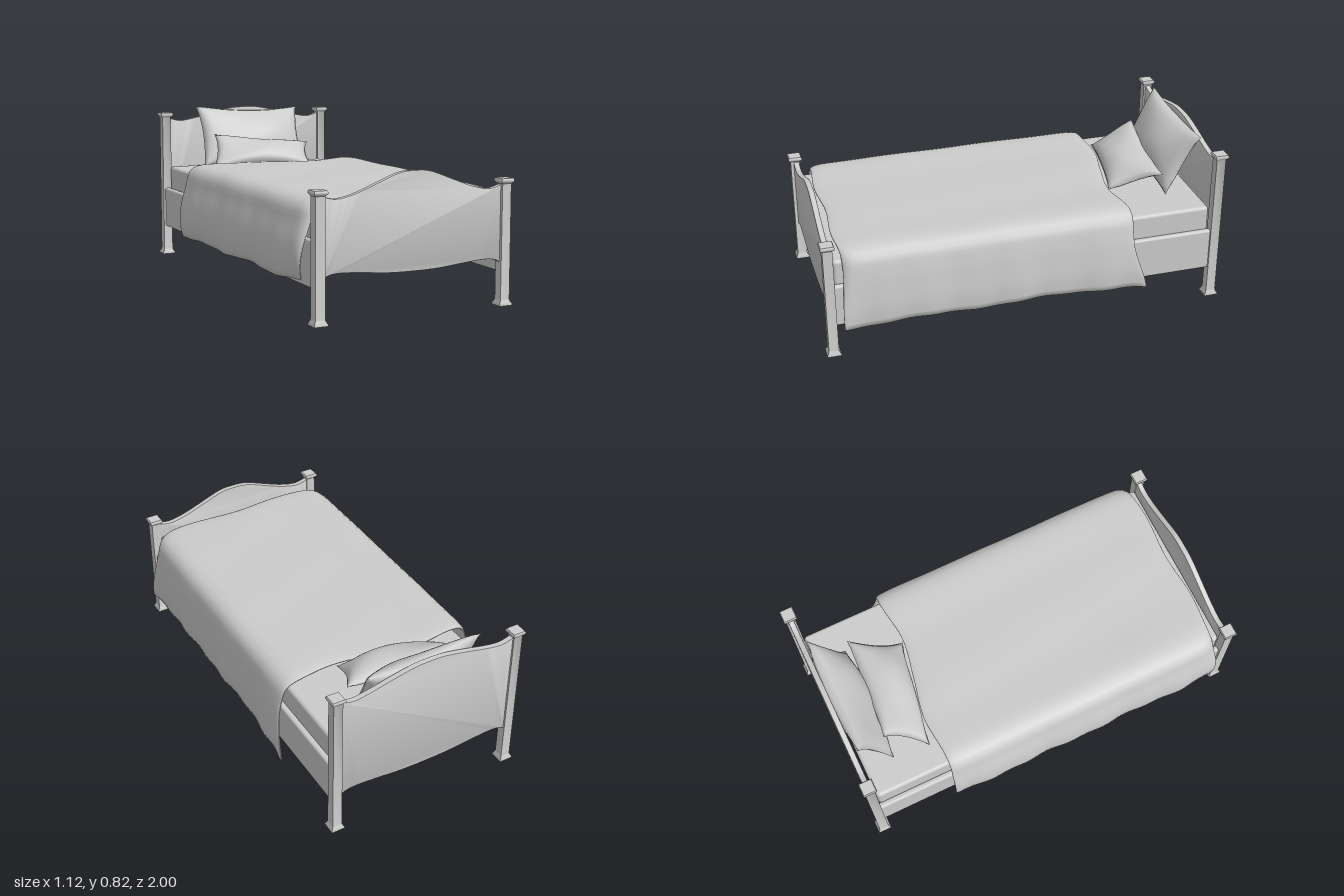
import * as THREE from 'three';
import { mergeGeometries, mergeVertices, toCreasedNormals } from 'three/addons/utils/BufferGeometryUtils.js';
import { RoundedBoxGeometry } from 'three/addons/geometries/RoundedBoxGeometry.js';

const V3 = (x, y, z) => new THREE.Vector3(x, y, z);
const material = new THREE.MeshStandardMaterial({ color: 0xcccccc });
const POST_X = 0.475, POST_Z = 0.966;

export function createModel() {
  const bed = new THREE.Group();
  bed.name = 'bed';

  const add = (name, geometry, x = 0, y = 0, z = 0) => {
    const mesh = new THREE.Mesh(geometry, material);
    mesh.name = name;
    mesh.position.set(x, y, z);
    bed.add(mesh);
    return mesh;
  };

  // Square posts with a flared foot and a moulded cap
  function postGeometry(height) {
    const profile = [
      [0, 0], [0.034, 0], [0.034, 0.007], [0.026, 0.02], [0.024, 0.03],
      [0.0235, height - 0.025], [0.03, height - 0.019], [0.034, height - 0.013],
      [0.034, height - 0.007], [0.03, height], [0, height],
    ].map(([r, y]) => new THREE.Vector2(r * Math.SQRT2, y));
    return toCreasedNormals(new THREE.LatheGeometry(profile, 4, Math.PI / 4), 0.6);
  }
  for (const side of [-1, 1]) {
    const label = side > 0 ? 'left' : 'right';
    add(label + 'HeadPost', postGeometry(0.787), side * POST_X, 0, -POST_Z);
    add(label + 'FootPost', postGeometry(0.593), side * POST_X, 0, POST_Z);
  }

  // End boards with a wavy top and bottom edge, mirrored about the middle
  function boardGeometry(top, bottom) {
    const edge = (half) => {
      const right = half.map(([x, y]) => new THREE.Vector2(x, y));
      const left = right.slice(1).reverse().map((p) => new THREE.Vector2(-p.x, p.y));
      return new THREE.SplineCurve([...left, ...right]).getPoints(60);
    };
    const shape = new THREE.Shape([...edge(bottom), ...edge(top).reverse()]);
    const geometry = new THREE.ExtrudeGeometry(shape, {
      depth: 0.02, bevelThickness: 0.004, bevelSize: 0.004, bevelSegments: 2,
    });
    geometry.translate(0, 0, -0.01);
    return toCreasedNormals(geometry, 0.7);
  }
  const bottomEdge = [[0, 0.204], [0.13, 0.207], [0.26, 0.219], [0.36, 0.226], [0.42, 0.222], [0.46, 0.205]];
  add('footboard', boardGeometry(
    [[0, 0.65], [0.08, 0.643], [0.2, 0.599], [0.3, 0.563], [0.39, 0.546], [0.46, 0.562]],
    bottomEdge), 0, 0, 0.96);
  add('headboard', boardGeometry(
    [[0, 0.803], [0.08, 0.799], [0.2, 0.775], [0.3, 0.751], [0.39, 0.738], [0.46, 0.755]],
    bottomEdge), 0, 0, -0.966);

  // Side rails, battens and slats
  for (const side of [-1, 1]) {
    const label = side > 0 ? 'left' : 'right';
    add(label + 'Rail', new RoundedBoxGeometry(0.032, 0.215, 1.9, 3, 0.012), side * 0.473, 0.263, 0);
    add(label + 'Batten', new THREE.BoxGeometry(0.025, 0.02, 1.84), side * 0.3, 0.29, 0);
  }
  for (let i = 0; i < 12; i++) {
    add('slat', new THREE.BoxGeometry(0.92, 0.02, 0.075), 0, 0.31, -0.85 + i * 0.1545);
  }

  add('mattress', new RoundedBoxGeometry(0.92, 0.168, 1.88, 4, 0.018), 0, 0.405, 0);

  // Blanket: a closed loop of cross-section points swept along the bed
  function blanketGeometry() {
    const nU = 64, nV = 60, half = 0.013;
    const path = new THREE.CatmullRomCurve3([
      V3(-0.528, 0.17, 0), V3(-0.542, 0.24, 0), V3(-0.535, 0.33, 0), V3(-0.507, 0.43, 0), V3(-0.484, 0.505, 0),
      V3(-0.44, 0.528, 0), V3(-0.2, 0.53, 0), V3(0.2, 0.53, 0), V3(0.44, 0.528, 0),
      V3(0.482, 0.505, 0), V3(0.502, 0.43, 0), V3(0.514, 0.33, 0), V3(0.52, 0.24, 0), V3(0.516, 0.16, 0),
    ]);
    // Wavy edge at the head end, by position across the bed
    const headEdge = new THREE.SplineCurve([
      [0, -0.57], [0.17, -0.565], [0.3, -0.56], [0.4, -0.575], [0.5, -0.535], [0.6, -0.5], [0.7, -0.525], [0.84, -0.53], [1, -0.59],
    ].map(([x, y]) => new THREE.Vector2(x, y)));
    const base = path.getSpacedPoints(nU);
    const ring = 2 * (nU + 1);
    const positions = [], index = [];
    for (let j = 0; j <= nV; j++) {
      const v = (1 - Math.cos((Math.PI * j) / nV)) / 2;
      const line = base.map((p, i) => {
        const u = i / nU, side = Math.sign(p.x);
        const hang = THREE.MathUtils.clamp((0.52 - p.y) / 0.36, 0, 1);
        const z = THREE.MathUtils.lerp(headEdge.getPoint(u).y, 0.905 + 0.008 * Math.sin(u * 21), v);
        const flare = side > 0 ? 0.032 * Math.exp(-v * 14) + 0.014 * Math.exp((v - 1) * 14) : 0;
        const x = p.x + side * hang * (flare + 0.005 * Math.sin(z * 13 + side) + 0.004 * Math.sin(z * 29))
          - side * 0.03 * Math.exp((v - 1) * 60) * Math.min(1, Math.abs(p.x) / 0.5) * (1 - hang);
        const y = p.y + hang * (0.007 * Math.sin(z * 11 + side * 2) - (side > 0 ? 0.025 * Math.exp(-v * 12) : -0.02 * v))
          + (1 - hang) * 0.003 * Math.sin(p.x * 9 + z * 5) * Math.sin(z * 7 - p.x * 4);
        return V3(x, y, z);
      });
      const t = half * Math.sqrt(Math.max(0.02, 1 - Math.pow(2 * v - 1, 16)));
      const outer = [], inner = [];
      line.forEach((p, i) => {
        const a = line[Math.max(0, i - 1)], b = line[Math.min(nU, i + 1)];
        const n = V3(a.y - b.y, b.x - a.x, 0).normalize();
        outer.push(p.clone().addScaledVector(n, t));
        inner.push(p.clone().addScaledVector(n, -t));
      });
      for (const p of [...outer, ...inner.reverse()]) positions.push(p.x, p.y, p.z);
    }
    for (let j = 0; j < nV; j++) {
      for (let i = 0; i < ring; i++) {
        const k = (i + 1) % ring;
        const a = j * ring + i, b = j * ring + k, c = a + ring, d = b + ring;
        index.push(a, c, b, b, c, d);
      }
    }
    // Close the thin rims at both ends
    for (let i = 0; i < nU; i++) {
      const o = nV * ring, m = ring - 1 - i;
      index.push(i, i + 1, m, i + 1, m - 1, m);
      index.push(o + i, o + m, o + i + 1, o + i + 1, o + m, o + m - 1);
    }
    const geometry = new THREE.BufferGeometry();
    geometry.setAttribute('position', new THREE.Float32BufferAttribute(positions, 3));
    geometry.setIndex(index);
    geometry.computeVertexNormals();
    return geometry;
  }
  add('blanket', blanketGeometry());

  // Pillows: two bulging sheets stretched between four corners, with pinched edges
  function pillowGeometry([bl, br, tl, tr], thickness, pinch) {
    const normal = br.clone().sub(bl).cross(tl.clone().sub(bl)).normalize();
    const sheet = (side) => {
      const g = new THREE.PlaneGeometry(2, 2, 28, 20);
      if (side < 0) g.rotateY(Math.PI);
      g.deleteAttribute('uv');
      g.deleteAttribute('normal');
      const pos = g.attributes.position;
      for (let i = 0; i < pos.count; i++) {
        const x = pos.getX(i), y = pos.getY(i);
        const u = 0.5 + 0.5 * x * (1 - pinch * (1 - y * y));
        const v = 0.5 + 0.5 * y * (1 - 1.5 * pinch * (1 - x * x));
        const p = bl.clone().lerp(br, u).lerp(tl.clone().lerp(tr, u), v);
        const puff = Math.pow(Math.max(0, (1 - x * x) * (1 - y * y)), 0.55);
        const crease = 1 + 0.06 * Math.sin(5 * x + 3 * y) * Math.abs(x);
        p.addScaledVector(normal, side * thickness * puff * crease + 0.008 * Math.sin(3 * x - 2 * y));
        pos.setXYZ(i, p.x, p.y, p.z);
      }
      return g;
    };
    const geometry = mergeVertices(mergeGeometries([sheet(1), sheet(-1)]), 1e-5);
    geometry.computeVertexNormals();
    return geometry;
  }
  add('backPillow', pillowGeometry(
    [V3(-0.315, 0.5, -0.78), V3(0.29, 0.5, -0.77), V3(-0.305, 0.815, -0.945), V3(0.308, 0.795, -0.945)], 0.075, 0.07));
  add('frontPillow', pillowGeometry(
    [V3(-0.336, 0.51, -0.6), V3(0.2, 0.525, -0.5), V3(-0.25, 0.665, -0.8), V3(0.295, 0.605, -0.76)], 0.065, 0.08));

  return bed;
}
